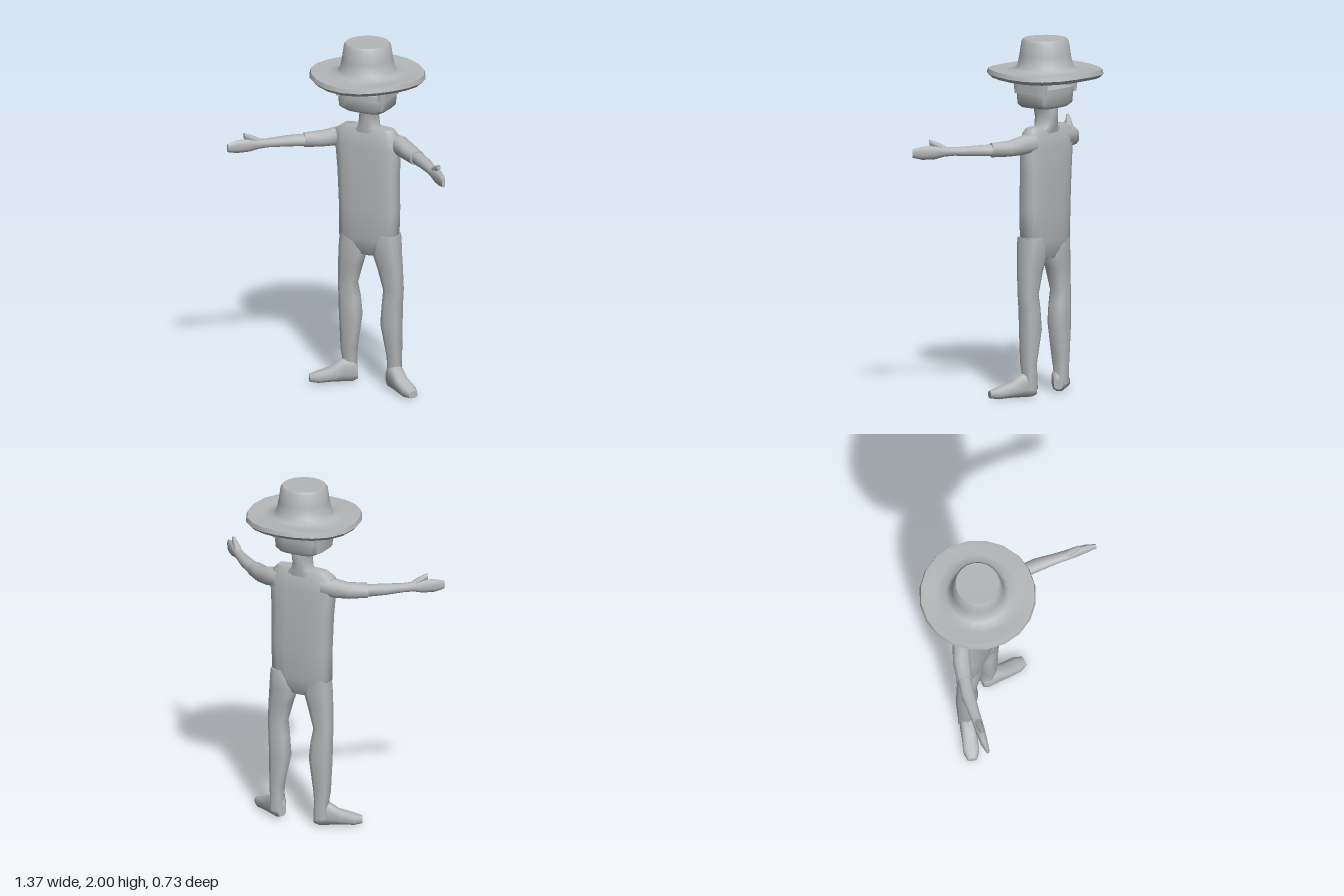
import * as THREE from 'three';
import { mergeVertices, toCreasedNormals } from 'three/addons/utils/BufferGeometryUtils.js';

const grey = new THREE.MeshStandardMaterial({ color: 0xb4b6b8 });
grey.name = 'plain grey';

const spow = (v, p) => Math.sign(v) * Math.abs(v) ** p;

// Skin a row of rings; each ring is { c, u, v } with u x v pointing along the row.
function loft(rings, sides = 12, power = 0.75) {
  const pos = [], idx = [];
  for (const { c, u, v } of rings) {
    for (let j = 0; j < sides; j++) {
      const t = ((j + 0.5) / sides) * Math.PI * 2;
      const p = c.clone()
        .addScaledVector(u, spow(Math.cos(t), power))
        .addScaledVector(v, spow(Math.sin(t), power));
      pos.push(p.x, p.y, p.z);
    }
  }
  for (let i = 0; i < rings.length - 1; i++) {
    for (let j = 0; j < sides; j++) {
      const k = (j + 1) % sides;
      const a = i * sides + j, b = i * sides + k;
      idx.push(a, b, b + sides, a, b + sides, a + sides);
    }
  }
  // end caps
  const first = rings[0].c, last = rings[rings.length - 1].c;
  const n = rings.length * sides, top = n - sides;
  pos.push(first.x, first.y, first.z, last.x, last.y, last.z);
  for (let j = 0; j < sides; j++) {
    const k = (j + 1) % sides;
    idx.push(n, k, j, n + 1, top + j, top + k);
  }
  const g = new THREE.BufferGeometry();
  g.setAttribute('position', new THREE.Float32BufferAttribute(pos, 3));
  g.setIndex(idx);
  return toCreasedNormals(g, 0.9);
}

// Upright body part: rows of [y, xMin, xMax, zMin, zMax], from low to high.
const upright = (rows, sides, power) => loft(rows.map(([y, x0, x1, z0, z1]) => ({
  c: new THREE.Vector3((x0 + x1) / 2, y, (z0 + z1) / 2),
  u: new THREE.Vector3((x1 - x0) / 2, 0, 0),
  v: new THREE.Vector3(0, 0, -(z1 - z0) / 2),
})), sides, power);

// Limb lying flat: rows of [x, z, yMin, yMax, halfWidth], mirrored by side.
function limb(rows, side, sides, power, shift = 0) {
  const pts = rows.map(([x, z, y0, y1]) =>
    new THREE.Vector3(side * x + shift, (y0 + y1) / 2, z));
  return loft(rows.map(([, , y0, y1, w], i) => {
    const d = pts[Math.min(i + 1, pts.length - 1)].clone().sub(pts[Math.max(i - 1, 0)]);
    d.y = 0;
    d.normalize();
    const up = new THREE.Vector3(0, 1, 0);
    return {
      c: pts[i],
      u: up.clone().cross(d).multiplyScalar(w),
      v: up.multiplyScalar((y1 - y0) / 2),
    };
  }), sides, power);
}

export function createModel() {
  const model = new THREE.Group();
  const add = (name, geometry, x = 0, y = 0, z = 0) => {
    const mesh = new THREE.Mesh(geometry, grey);
    mesh.name = name;
    mesh.position.set(x, y, z);
    model.add(mesh);
    return mesh;
  };

  // Hat: crown and wide brim with a rolled, slightly wavy edge
  const profile = [
    [0, 1.785], [0.15, 1.785], [0.25, 1.782], [0.305, 1.785], [0.325, 1.805],
    [0.318, 1.83], [0.29, 1.832], [0.23, 1.822], [0.175, 1.83], [0.155, 1.85],
    [0.143, 1.91], [0.132, 1.985], [0.122, 2.0], [0, 1.997],
  ].map(([r, y]) => new THREE.Vector2(r, y));
  let hat = new THREE.LatheGeometry(profile, 20);
  hat.deleteAttribute('normal');
  hat.deleteAttribute('uv');
  hat = mergeVertices(hat);
  const p = hat.attributes.position;
  for (let i = 0; i < p.count; i++) {
    const r = Math.hypot(p.getX(i), p.getZ(i));
    const a = Math.atan2(p.getZ(i), p.getX(i));
    if (r > 0.2) p.setY(i, p.getY(i) + 0.006 * Math.sin(3 * a));
  }
  add('hat', toCreasedNormals(hat, 0.8), -0.007, 0, -0.043);

  // Head: jaw block with an open gap under the hat, held by two side walls
  add('jaw', upright([
    [1.62, -0.11, 0.115, -0.145, 0.06],
    [1.64, -0.15, 0.138, -0.16, 0.078],
    [1.70, -0.155, 0.143, -0.165, 0.08],
    [1.73, -0.156, 0.144, -0.167, 0.078],
  ], 16, 0.5));
  for (const [name, x0, x1] of [['rightTemple', -0.158, -0.118], ['leftTemple', 0.102, 0.144]]) {
    add(name, upright([
      [1.70, x0, x1, -0.155, 0.065],
      [1.80, x0, x1, -0.16, 0.07],
    ], 12, 0.5));
  }

  // Neck flaring into the shoulders
  add('neck', upright([
    [1.47, -0.13, 0.12, -0.105, 0.0],
    [1.515, -0.06, 0.055, -0.115, 0.01],
    [1.56, -0.05, 0.042, -0.125, 0.015],
    [1.61, -0.042, 0.045, -0.13, 0.022],
    [1.66, -0.06, 0.06, -0.12, 0.03],
  ]));

  // Torso: long, thin and boxy
  add('torso', upright([
    [0.77, -0.045, 0.05, -0.09, -0.01],
    [0.81, -0.14, 0.14, -0.105, 0.008],
    [0.87, -0.176, 0.178, -0.115, 0.02],
    [1.05, -0.176, 0.182, -0.12, 0.022],
    [1.25, -0.186, 0.18, -0.12, 0.02],
    [1.40, -0.202, 0.188, -0.115, 0.012],
    [1.48, -0.2, 0.175, -0.105, 0.005],
    [1.512, -0.155, 0.15, -0.09, -0.01],
  ], 16, 0.55));

  // Legs
  add('rightLeg', upright([
    [0.05, -0.165, -0.085, -0.1, -0.02],
    [0.15, -0.165, -0.087, -0.1, -0.018],
    [0.20, -0.172, -0.083, -0.1, -0.01],
    [0.40, -0.182, -0.053, -0.108, 0],
    [0.50, -0.183, -0.064, -0.106, 0],
    [0.58, -0.186, -0.08, -0.1, 0],
    [0.70, -0.182, -0.045, -0.104, 0.01],
    [0.79, -0.178, -0.018, -0.11, 0.018],
    [0.88, -0.17, -0.03, -0.11, 0.015],
  ], 12, 0.65));
  add('leftLeg', upright([
    [0.05, 0.11, 0.19, -0.1, -0.02],
    [0.15, 0.117, 0.19, -0.1, -0.018],
    [0.20, 0.116, 0.193, -0.1, -0.01],
    [0.38, 0.078, 0.197, -0.108, 0],
    [0.50, 0.088, 0.2, -0.106, 0],
    [0.58, 0.098, 0.207, -0.1, 0],
    [0.70, 0.066, 0.202, -0.106, 0.012],
    [0.79, 0.035, 0.195, -0.115, 0.022],
    [0.86, 0.05, 0.188, -0.12, 0.027],
    [0.90, 0.075, 0.183, -0.115, 0.022],
  ], 12, 0.65));

  // Feet (turned outwards) and arms (held out and forwards)
  for (const [label, side] of [['right', -1], ['left', 1]]) {
    add(label + 'Foot', limb([
      [0.10, -0.075, 0.02, 0.1, 0.026],
      [0.125, -0.058, 0.008, 0.14, 0.042],
      [0.17, -0.03, 0.008, 0.14, 0.045],
      [0.22, 0.005, 0.008, 0.095, 0.044],
      [0.285, 0.047, 0.003, 0.068, 0.045],
      [0.325, 0.074, 0.01, 0.05, 0.027],
    ], side, 12, 0.7, 0.015));

    add(label + 'Sleeve', limb([
      [0.13, -0.075, 1.38, 1.48, 0.04],
      [0.20, -0.05, 1.37, 1.48, 0.05],
      [0.27, -0.012, 1.365, 1.456, 0.05],
      [0.355, 0.05, 1.365, 1.446, 0.044],
    ], side, 10, 0.85));
    add(label + 'Forearm', limb([
      [0.32, 0.02, 1.37, 1.44, 0.038],
      [0.43, 0.108, 1.375, 1.435, 0.038],
      [0.51, 0.185, 1.38, 1.428, 0.03],
      [0.55, 0.225, 1.376, 1.43, 0.028],
      [0.59, 0.262, 1.362, 1.44, 0.026],
      [0.64, 0.31, 1.36, 1.435, 0.02],
      [0.677, 0.352, 1.372, 1.42, 0.009],
    ], side, 10, 0.85));
    add(label + 'Thumb', limb([
      [0.53, 0.205, 1.39, 1.42, 0.018],
      [0.565, 0.24, 1.405, 1.45, 0.02],
      [0.61, 0.282, 1.44, 1.475, 0.01],
    ], side, 8, 0.9));
  }
  return model;
}
